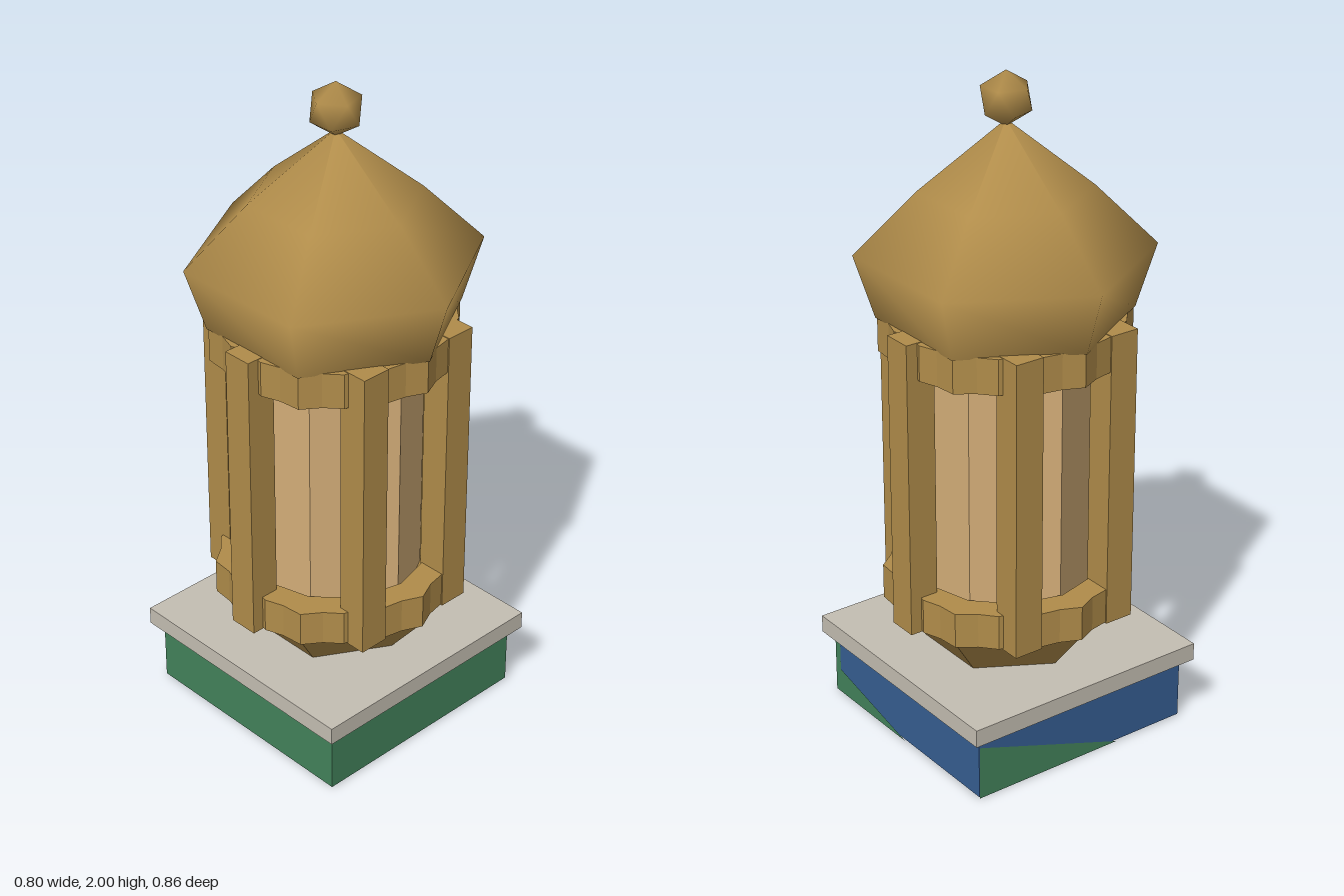
import * as THREE from 'three';
import { mergeVertices } from 'three/addons/utils/BufferGeometryUtils.js';

const mat = (name, color, opts = {}) => {
  const m = new THREE.MeshStandardMaterial({ color, ...opts });
  m.name = name;
  return m;
};

export function createModel() {
  const gold = mat('gold', 0xb08c4a, { flatShading: true });
  const smoothGold = gold.clone();
  smoothGold.flatShading = false;
  const glass = mat('warmGlass', 0xd6b07a, { flatShading: true });
  const stone = mat('paleStone', 0xc4beb2);
  const green = mat('green', 0x43825b);
  const blue = mat('blue', 0x365e92);

  const model = new THREE.Group();
  const add = (name, geometry, material, x = 0, y = 0, z = 0) => {
    const mesh = new THREE.Mesh(geometry, material);
    mesh.name = name;
    mesh.position.set(x, y, z);
    model.add(mesh);
    return mesh;
  };

  // Two-tone plinth: green front and right, blue left and back
  add('plinth', new THREE.BoxGeometry(0.74, 0.195, 0.74),
    [blue, green, green, blue, green, blue], 0, 0.1005, 0);

  // Painted green patches, each a convex fan of corners
  const patch = (name, corners) => {
    const g = new THREE.BufferGeometry();
    const index = [];
    for (let i = 1; i < corners.length - 1; i++) index.push(0, i, i + 1);
    g.setAttribute('position', new THREE.Float32BufferAttribute(corners.flat(), 3));
    g.setIndex(index);
    g.computeVertexNormals();
    add(name, g, green);
  };
  const f = 0.373;
  patch('leftPatch', [[f, 0, 0.37], [f, 0, 0], [f, 0.08, 0.345], [f, 0.195, 0.345], [f, 0.195, 0.37]]);
  patch('backPatch', [[0.37, 0.17, -f], [0.37, 0, -f], [-0.13, 0, -f]]);
  patch('bottomPatch', [[0.37, 0, 0.37], [-0.37, 0, -0.37], [0.37, 0, -0.37]]);

  // Stone slab
  add('slab', new THREE.BoxGeometry(0.8, 0.055, 0.8), stone, 0, 0.225, 0);

  // Flared hexagonal foot
  add('foot', new THREE.CylinderGeometry(0.36, 0.24, 0.145, 6), gold, 0, 0.3225, 0);

  // Hexagonal glass chamber
  add('glassChamber', new THREE.CylinderGeometry(0.263, 0.263, 0.9, 6), glass, 0, 0.845, 0);

  // Notched rings, widest at the hexagon corners
  const outline = new THREE.Shape();
  const steps = 36;
  for (let i = 0; i < steps; i++) {
    const a = (i / steps) * Math.PI * 2;
    const r = 0.345 - 0.012 * Math.cos(6 * a) + (i % 2 ? 0.008 : -0.008);
    const p = [r * Math.cos(a), r * Math.sin(a)];
    if (i) outline.lineTo(...p); else outline.moveTo(...p);
  }
  outline.closePath();
  const hole = new THREE.Path();
  for (let i = 0; i < 12; i++) {
    const a = -(i / 12) * Math.PI * 2;
    const p = [0.275 * Math.cos(a), 0.275 * Math.sin(a)];
    if (i) hole.lineTo(...p); else hole.moveTo(...p);
  }
  hole.closePath();
  outline.holes.push(hole);
  const ring = new THREE.ExtrudeGeometry(outline, { depth: 0.108, bevelEnabled: false });
  ring.rotateX(-Math.PI / 2);
  add('lowerRing', ring, gold, 0, 0.39, 0);
  add('upperRing', ring, gold, 0, 1.188, 0);

  // Six posts in front of the glass faces
  const post = new THREE.BoxGeometry(0.092, 0.912, 0.092);
  for (let i = 0; i < 6; i++) {
    const a = (i * Math.PI) / 3;
    add('post', post, gold, 0.328 * Math.cos(a), 0.842, 0.328 * Math.sin(a));
  }

  // Six-sided dome with soft shading
  const profile = [[0.37, 1.29], [0.43, 1.48], [0.25, 1.66], [0.001, 1.86]]
    .map(([r, y]) => new THREE.Vector2(r, y));
  add('dome', new THREE.LatheGeometry(profile, 6), smoothGold);
  const underside = new THREE.CylinderGeometry(0.37, 0.37, 0.01, 6);
  add('domeUnderside', underside, gold, 0, 1.295, 0);

  // Faceted ball standing on a corner
  let ball = new THREE.IcosahedronGeometry(0.08, 0);
  ball.deleteAttribute('normal');
  ball.deleteAttribute('uv');
  ball = mergeVertices(ball, 1e-4);
  ball.rotateZ(Math.atan(2 / (1 + Math.sqrt(5))));
  ball.computeVertexNormals();
  add('finial', ball, smoothGold, 0, 1.92, 0);

  return model;
}
